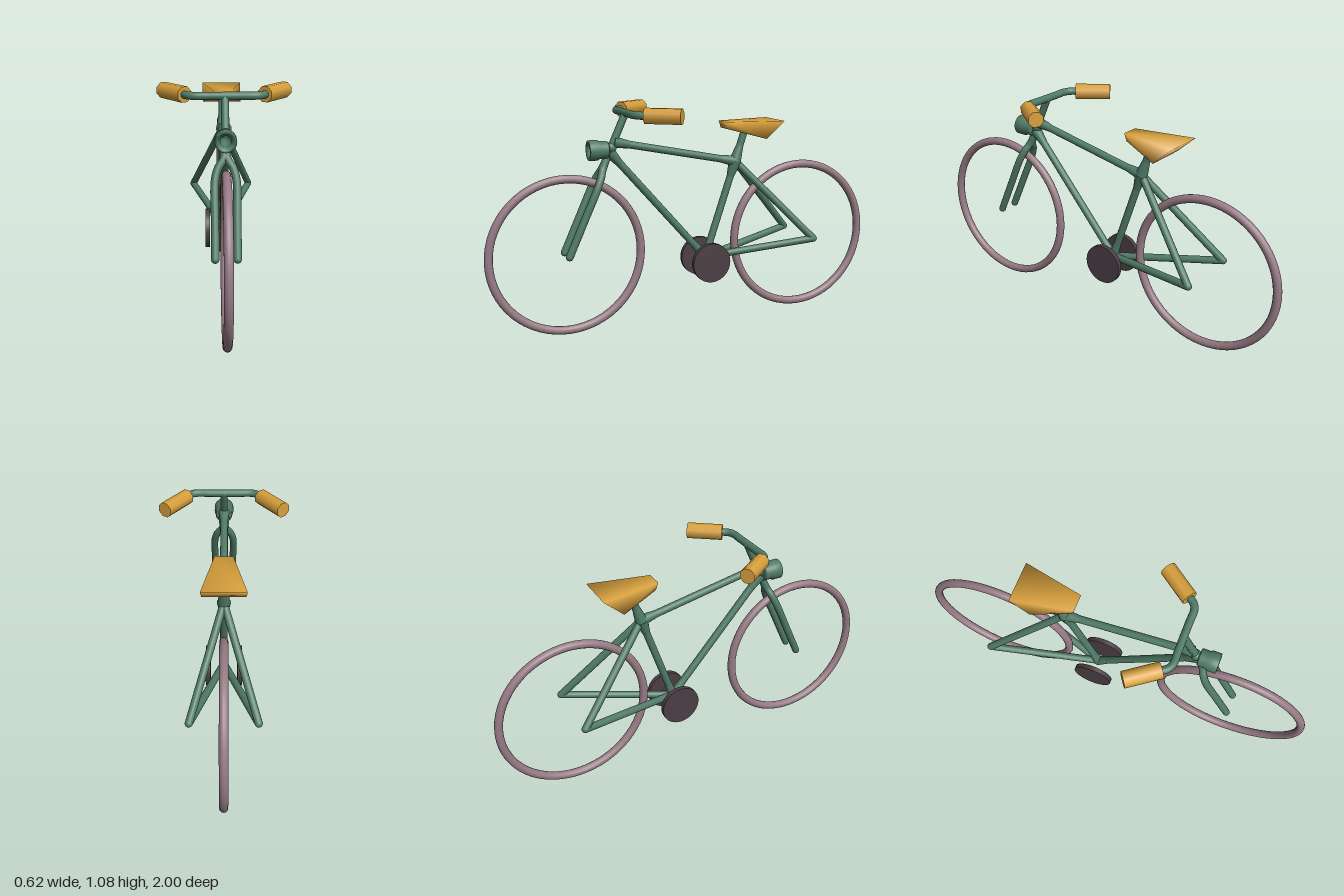
import * as THREE from 'three';

const mat = (color) => new THREE.MeshStandardMaterial({ color });
const V = (x, y, z) => new THREE.Vector3(x, y, z);
const UP = V(0, 1, 0);

export function createModel() {
  const bike = new THREE.Group();
  bike.name = 'bicycle';
  const green = mat(0x4f7a66), yellow = mat(0xd8a03c);
  const rubber = mat(0x967a85), dark = mat(0x4a3e44);
  const R = 0.018;

  function add(name, geometry, material, parent = bike) {
    const mesh = new THREE.Mesh(geometry, material);
    mesh.name = name;
    parent.add(mesh);
    return mesh;
  }

  // Place a y-axis geometry so that it points from a to b
  function aim(mesh, a, b) {
    mesh.position.copy(a).add(b).multiplyScalar(0.5);
    mesh.quaternion.setFromUnitVectors(UP, b.clone().sub(a).normalize());
    return mesh;
  }

  // Round-ended frame tube; flares widen it where it joins other tubes
  function strut(name, a, b, flareA = 0, flareB = 0, r = R) {
    const group = new THREE.Group();
    group.name = name;
    bike.add(group);
    aim(add(name + 'Tube', new THREE.CapsuleGeometry(r, a.distanceTo(b), 6, 16), green, group), a, b);
    const flare = (p, q, size) => {
      if (!size) return;
      const end = p.clone().lerp(q, 0.08 / p.distanceTo(q));
      aim(add(name + 'Flare', new THREE.CylinderGeometry(r, size, 0.08, 16), green, group), p, end);
    };
    flare(a, b, flareA);
    flare(b, a, flareB);
  }

  // Curved tube with round ends
  function bent(name, points) {
    const curve = new THREE.CatmullRomCurve3(points, false, 'centripetal');
    add(name, new THREE.TubeGeometry(curve, 48, R, 16), green);
    for (const p of [points[0], points[points.length - 1]])
      add(name + 'End', new THREE.SphereGeometry(R, 16, 10), green).position.copy(p);
  }

  // Steering axis: z follows y
  const steer = (y, x = 0) => V(x, y, 0.615 - 0.454 * (y - 0.39));

  // Wheels
  for (const [name, z] of [['frontWheel', 0.615], ['rearWheel', -0.615]]) {
    const wheel = add(name, new THREE.TorusGeometry(0.365, 0.02, 14, 64), rubber);
    wheel.rotation.y = Math.PI / 2;
    wheel.position.set(0, 0.385, z);
  }

  // Main frame
  const bottom = V(0, 0.31, -0.09), cluster = V(0, 0.785, -0.25);
  const headTop = steer(0.91), headLow = steer(0.865);
  strut('steeringStem', steer(0.79), steer(1.043));
  strut('topTube', headTop, cluster, 0.028, 0.028);
  strut('downTube', headLow, bottom, 0.028, 0.024);
  strut('seatTube', bottom, cluster, 0.024, 0.032);
  strut('seatPost', cluster, V(0, 0.945, -0.303), 0.03);
  add('seatJoint', new THREE.SphereGeometry(0.03, 16, 12), green).position.copy(cluster);
  add('headJoint', new THREE.SphereGeometry(0.026, 16, 12), green).position.copy(steer(0.885));
  add('crankJoint', new THREE.SphereGeometry(0.024, 16, 12), green).position.copy(bottom);

  for (const s of [1, -1]) {
    const side = s > 0 ? 'left' : 'right';

    // Rear stays
    const dropout = V(s * 0.155, 0.39, -0.62);
    strut(side + 'SeatStay', cluster, dropout);
    strut(side + 'ChainStay', bottom, dropout);

    // Fork blade
    bent(side + 'ForkBlade', [
      steer(0.39, s * 0.048), steer(0.55, s * 0.048), steer(0.7, s * 0.047),
      steer(0.75, s * 0.033), steer(0.785, s * 0.01), steer(0.83),
    ]);

    // Handlebar half
    bent(side + 'Handlebar', [
      V(0, 1.045, 0.32), V(s * 0.07, 1.045, 0.32), V(s * 0.135, 1.045, 0.32),
      V(s * 0.162, 1.045, 0.307), V(s * 0.195, 1.045, 0.262),
    ]);

    // Eight-sided grip with flats on top and bottom
    const gripShape = new THREE.CylinderGeometry(0.038, 0.038, 0.172, 8);
    gripShape.rotateY(Math.PI / 8);
    gripShape.rotateX(Math.PI / 2);
    const grip = add(side + 'Grip', gripShape, yellow);
    grip.position.set(s * 0.229, 1.045, 0.214);
    grip.rotation.y = -s * Math.atan2(0.102, 0.14);

    // Pedal disc
    const pedal = add(side + 'PedalDisc', new THREE.CylinderGeometry(0.098, 0.098, 0.023, 40), dark);
    pedal.rotation.z = Math.PI / 2;
    pedal.position.set(s * 0.078, 0.298, -0.09);
  }

  // Headlamp with a hollow front
  const profile = [
    [0, 0.405], [0.038, 0.408], [0.042, 0.415], [0.042, 0.45], [0.048, 0.458], [0.048, 0.5],
    [0.036, 0.502], [0.032, 0.488], [0.024, 0.485], [0.021, 0.43], [0, 0.428],
  ].map(([r, z]) => new THREE.Vector2(r, z));
  const lampShape = new THREE.LatheGeometry(profile, 32);
  lampShape.rotateX(Math.PI / 2);
  add('headlamp', lampShape, green).position.y = 0.876;
  strut('lampBracket', V(0, 0.876, 0.4), V(0, 0.882, 0.385));

  // Saddle: side profile (z, y, half width) swept from right to left
  const ring = [[-0.178, 0.985, 0.042], [-0.19, 0.95, 0.042], [-0.375, 0.9, 0.098], [-0.47, 0.985, 0.1]];
  const corners = [];
  for (const s of [1, -1]) for (const [z, y, w] of ring) corners.push(s * w, y, z);
  const faces = [0, 1, 2, 0, 2, 3, 4, 6, 5, 4, 7, 6];
  for (let i = 0; i < 4; i++) {
    const j = (i + 1) % 4;
    faces.push(i, i + 4, j, j, i + 4, j + 4);
  }
  const saddle = new THREE.BufferGeometry();
  saddle.setAttribute('position', new THREE.Float32BufferAttribute(corners, 3));
  saddle.setIndex(faces);
  saddle.computeVertexNormals();
  add('saddle', saddle, yellow);

  return bike;
}
